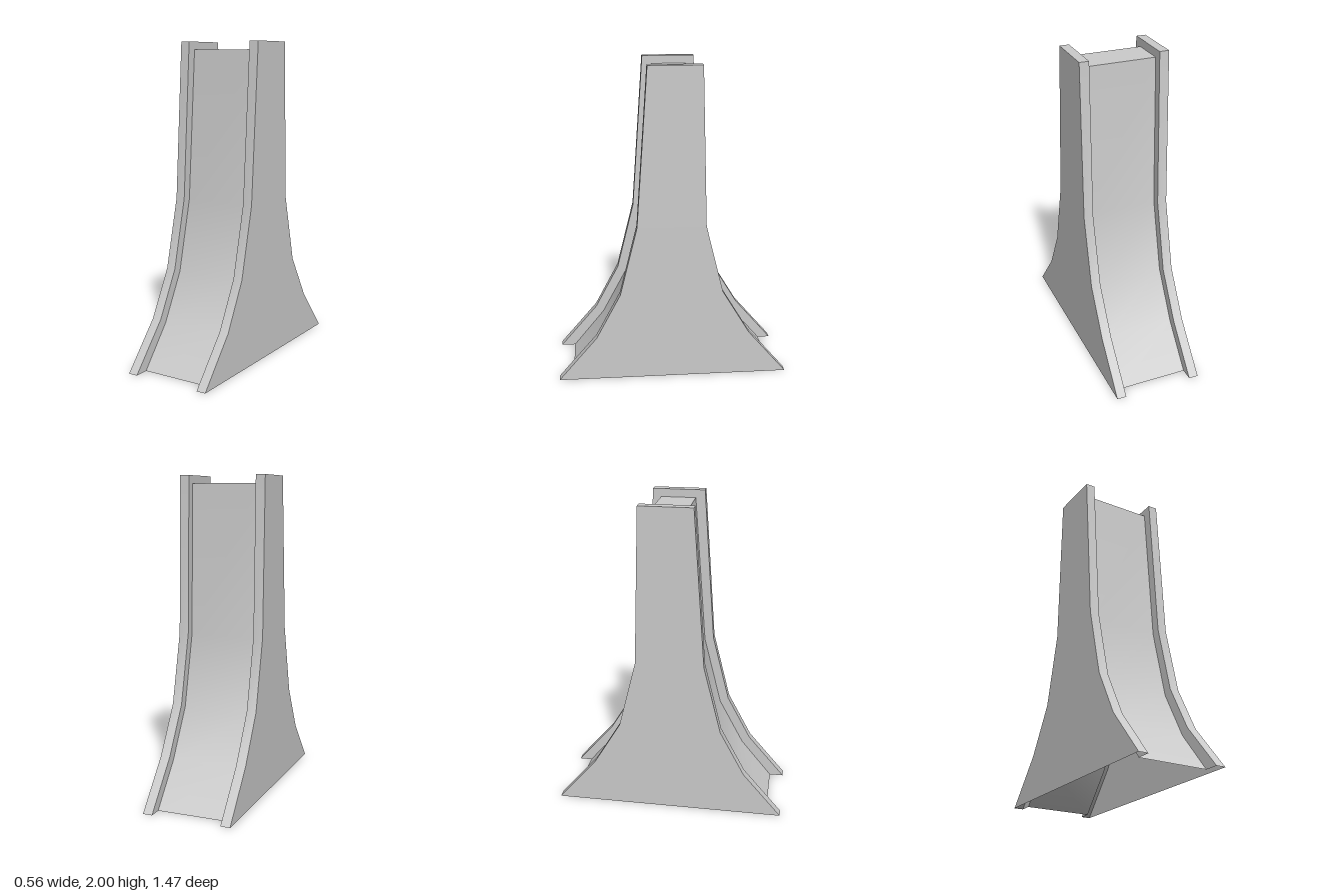
import * as THREE from 'three';

// Profiles as [z, y], from the ground up: rim edge and recessed slope
const rimFront = [[0.735, 0], [0.49, 0.285], [0.335, 0.575], [0.225, 1.015], [0.155, 2]];
const rimBack = [[-0.735, 0], [-0.49, 0.285], [-0.315, 0.575], [-0.205, 1.015], [-0.175, 2]];
const slopeFront = [[0.645, 0], [0.44, 0.25], [0.28, 0.55], [0.168, 1.005], [0.097, 1.95]];
const slopeBack = [[-0.655, 0], [-0.44, 0.25], [-0.26, 0.55], [-0.148, 1.005], [-0.122, 1.95]];
const OUTER = 0.28, INNER = 0.22;

// Split an outline into front, top and back runs, so each is smooth in itself
const runs = (front, back) => [front, [front[4], back[4]], [...back].reverse()];
const at = (x, profile) => profile.map(([z, y]) => [x, y, z]);

// Surface between two edges with the same number of points
function strip(a, b) {
  const pos = [], index = [];
  a.forEach((p, i) => {
    pos.push(...p, ...b[i]);
    const k = 2 * i;
    if (i < a.length - 1) index.push(k, k + 1, k + 3, k, k + 3, k + 2);
  });
  const geo = new THREE.BufferGeometry();
  geo.setAttribute('position', new THREE.Float32BufferAttribute(pos, 3));
  geo.setIndex(index);
  geo.computeVertexNormals();
  return geo;
}

export function createModel() {
  const model = new THREE.Group();
  model.name = 'doubleSlope';
  const material = new THREE.MeshStandardMaterial({ color: 0xcccccc, side: THREE.DoubleSide });
  const add = (parent, name, a, b) => {
    const mesh = new THREE.Mesh(strip(a, b), material);
    mesh.name = name;
    parent.add(mesh);
  };
  const names = ['front', 'top', 'back'];
  const rim = runs(rimFront, rimBack), slope = runs(slopeFront, slopeBack);

  // Recessed curved slopes and the flat cap between them
  slope.forEach((run, i) => add(model, names[i] + 'Slope', at(-INNER, run), at(INNER, run)));

  // Side walls, open underneath: outer panel, raised rim and inner lip
  for (const s of [1, -1]) {
    const wall = new THREE.Group();
    wall.name = s > 0 ? 'leftWall' : 'rightWall';
    const addFacing = (name, a, b) => (s > 0 ? add(wall, name, a, b) : add(wall, name, b, a));
    addFacing('sidePanel', at(s * OUTER, rimFront), at(s * OUTER, rimBack));
    rim.forEach((run, i) => {
      addFacing(names[i] + 'Rim', at(s * INNER, run), at(s * OUTER, run));
      addFacing(names[i] + 'Lip', at(s * INNER, slope[i]), at(s * INNER, run));
    });
    model.add(wall);
  }
  return model;
}
